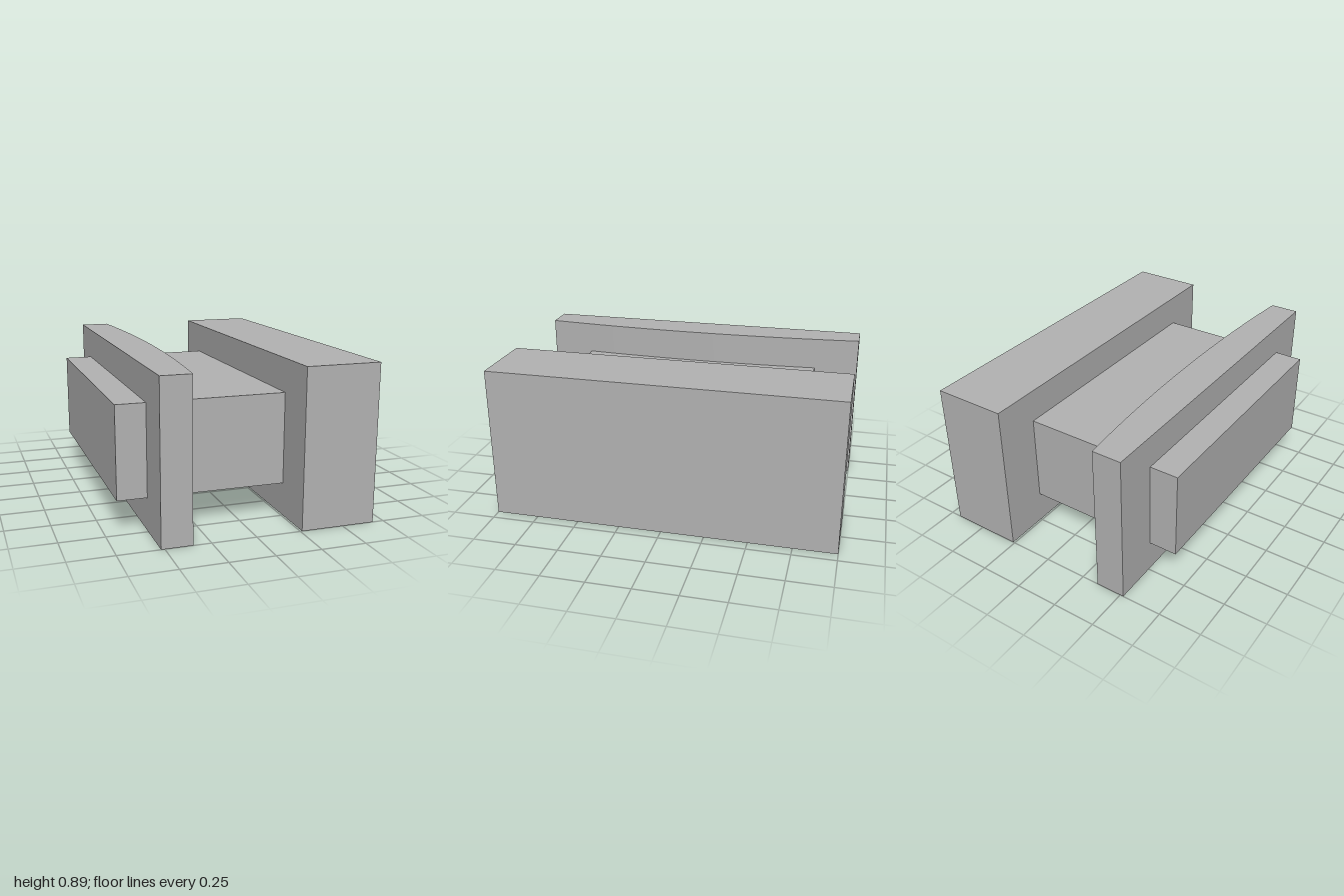
import * as THREE from 'three';

const HEIGHT = 0.89;

export function createModel() {
  const group = new THREE.Group();
  const grey = new THREE.MeshStandardMaterial({ color: 0xb2b2b2 });
  grey.name = 'plain grey';

  const add = (name, geometry) => {
    const mesh = new THREE.Mesh(geometry, grey);
    mesh.name = name;
    group.add(mesh);
    return mesh;
  };

  // Box given by its extents along x, y and z
  const addBox = (name, [x0, x1], [y0, y1], [z0, z1]) =>
    add(name, new THREE.BoxGeometry(x1 - x0, y1 - y0, z1 - z0))
      .position.set((x0 + x1) / 2, (y0 + y1) / 2, (z0 + z1) / 2);

  // Thick block on the left
  addBox('thickBlock', [0.26, 0.685], [0, HEIGHT], [-1, 1]);

  // Bar running through the plate into the block
  addBox('connectingBar', [-0.685, 0.26], [0.187, 0.703], [-0.74, 0.74]);

  // Plate with a gently bulging inner face, drawn in plan and extruded upwards
  const edge = -0.35, bulge = 0.05;
  const radius = (1 + bulge * bulge) / (2 * bulge);
  const half = Math.asin(1 / radius);
  const plan = new THREE.Shape();
  plan.moveTo(-0.52, -1);
  plan.lineTo(edge, -1);
  plan.absarc(edge + bulge - radius, 0, radius, -half, half, false);
  plan.lineTo(-0.52, 1);
  plan.closePath();
  const plate = new THREE.ExtrudeGeometry(plan, { depth: HEIGHT, bevelEnabled: false, curveSegments: 12 });
  plate.rotateX(-Math.PI / 2);
  add('bulgedPlate', plate);

  return group;
}
